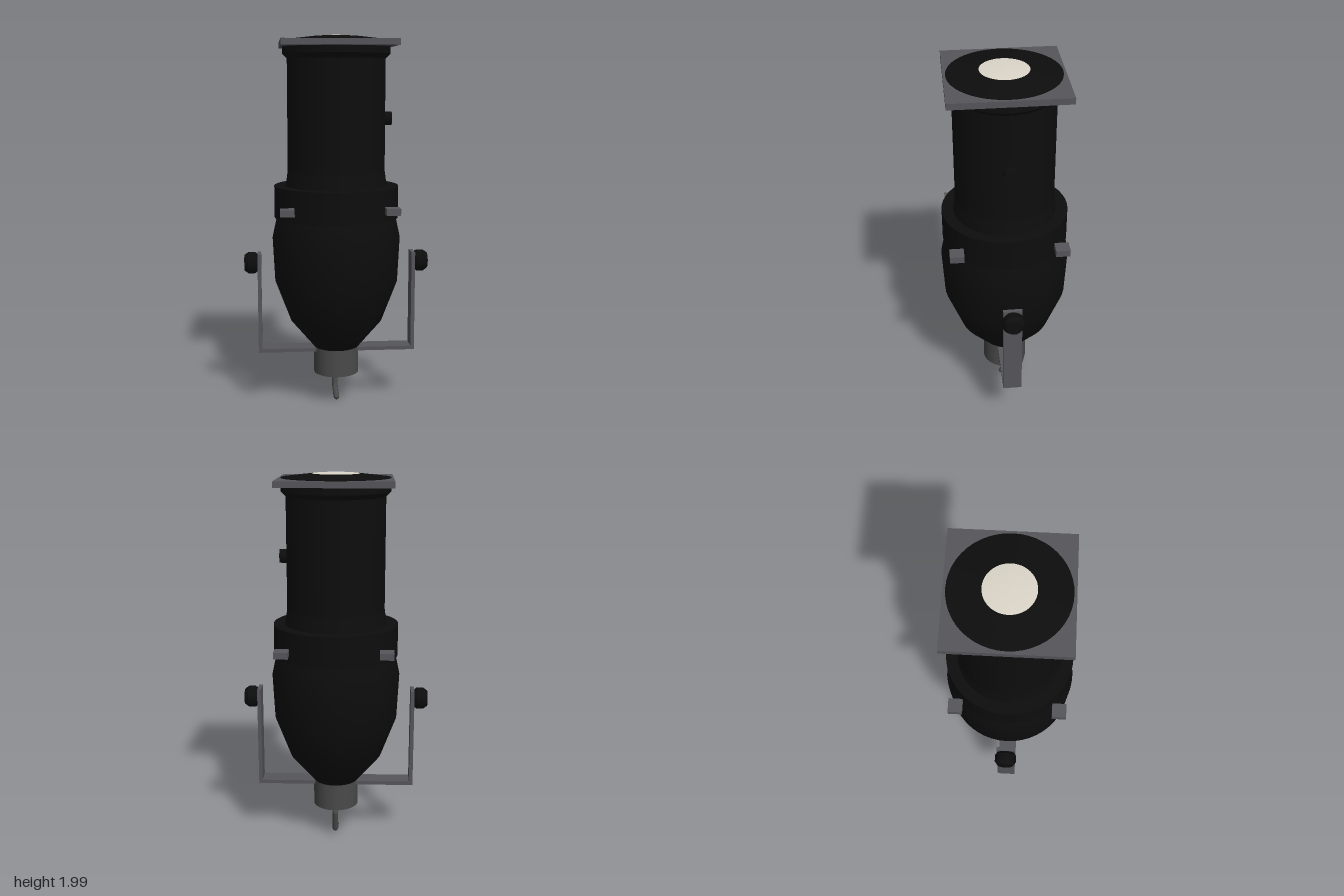
import * as THREE from 'three';

const black = new THREE.MeshStandardMaterial({ name: 'black enamel', color: 0x0d0d0d });
const steel = new THREE.MeshStandardMaterial({ name: 'grey steel', color: 0x56555a });
const darkGrey = new THREE.MeshStandardMaterial({ name: 'dark grey', color: 0x4a4a4a });
const glass = new THREE.MeshStandardMaterial({ name: 'lens cream', color: 0xdcd7c9 });

export function createModel() {
  const model = new THREE.Group();
  model.name = 'stageLight';

  const add = (name, geometry, material, x = 0, y = 0, z = 0, parent = model) => {
    const mesh = new THREE.Mesh(geometry, material);
    mesh.name = name;
    mesh.position.set(x, y, z);
    parent.add(mesh);
    return mesh;
  };
  // Profiles run from bottom to top as [radius, height]
  const lathe = (profile, sides = 48) =>
    new THREE.LatheGeometry(profile.map(([r, y]) => new THREE.Vector2(r, y)), sides);

  // Reflector housing, collar and lens barrel
  add('housing', lathe([[0.12, 0.315], [0.25, 0.47], [0.333, 0.69], [0.345, 0.93], [0.32, 1.045]]), black);
  add('collar', new THREE.CylinderGeometry(0.333, 0.333, 0.17, 48), black, 0, 1.125, 0);
  add('barrel', lathe([[0.272, 1.205], [0.26, 1.29], [0.26, 1.29], [0.26, 1.885]]), black);
  add('barrelRim', lathe([[0.26, 1.88], [0.285, 1.905], [0.285, 1.905], [0.285, 1.945]]), black);

  // Square colour frame with the lens bezel on top
  add('frontPlate', new THREE.BoxGeometry(0.594, 0.032, 0.594), steel, 0, 1.957, 0);
  add('lensBezel', lathe([[0.284, 1.972], [0.284, 1.976], [0.284, 1.976], [0.124, 1.995]]), black);
  add('lens', lathe([[0.124, 1.995], [0.07, 1.999], [0, 2]]), glass);

  // Focus knob on the side of the barrel
  add('focusKnob', new THREE.CylinderGeometry(0.036, 0.036, 0.055, 16), black, 0.268, 1.567, 0)
    .rotation.z = Math.PI / 2;

  // Shutter tabs around the collar
  for (const sx of [-1, 1]) {
    for (const sz of [-1, 1]) {
      add('shutterTab', new THREE.BoxGeometry(0.074, 0.036, 0.074), steel, sx * 0.271, 1.103, sz * 0.271);
    }
  }

  // U-shaped yoke with a tightening knob on each arm
  const yoke = new THREE.Group();
  yoke.name = 'yoke';
  model.add(yoke);
  add('yokeBar', new THREE.BoxGeometry(0.856, 0.02, 0.1), steel, 0, 0.306, 0, yoke);
  const knob = lathe([[0, 0], [0.047, 0], [0.047, 0], [0.058, 0.015], [0.058, 0.015], [0.058, 0.05],
    [0.058, 0.05], [0.042, 0.072], [0.042, 0.072], [0, 0.072]], 24);
  for (const side of [-1, 1]) {
    add('yokeArm', new THREE.BoxGeometry(0.02, 0.525, 0.1), steel, side * 0.418, 0.5785, 0, yoke);
    add('yokeKnob', knob, black, side * 0.427, 0.79, 0, yoke).rotation.z = -side * Math.PI / 2;
  }

  // Lamp cap with a shallow cone below
  add('lampCap', new THREE.CylinderGeometry(0.123, 0.123, 0.148, 40), darkGrey, 0, 0.244, 0);
  add('lampCapBase', lathe([[0, 0.148], [0.123, 0.17]], 40), darkGrey);

  // Bent cable tail made of straight runs
  const path = new THREE.CurvePath();
  const bends = [[0.165, -0.07], [0.148, -0.108], [0.046, -0.087], [0.022, 0.022]]
    .map(([y, z]) => new THREE.Vector3(0, y, z));
  for (let i = 1; i < bends.length; i++) path.add(new THREE.LineCurve3(bends[i - 1], bends[i]));
  add('cable', new THREE.TubeGeometry(path, 40, 0.016, 10), darkGrey);
  add('cableEnd', new THREE.SphereGeometry(0.016, 10, 6), darkGrey, 0, 0.022, 0.02);

  return model;
}
